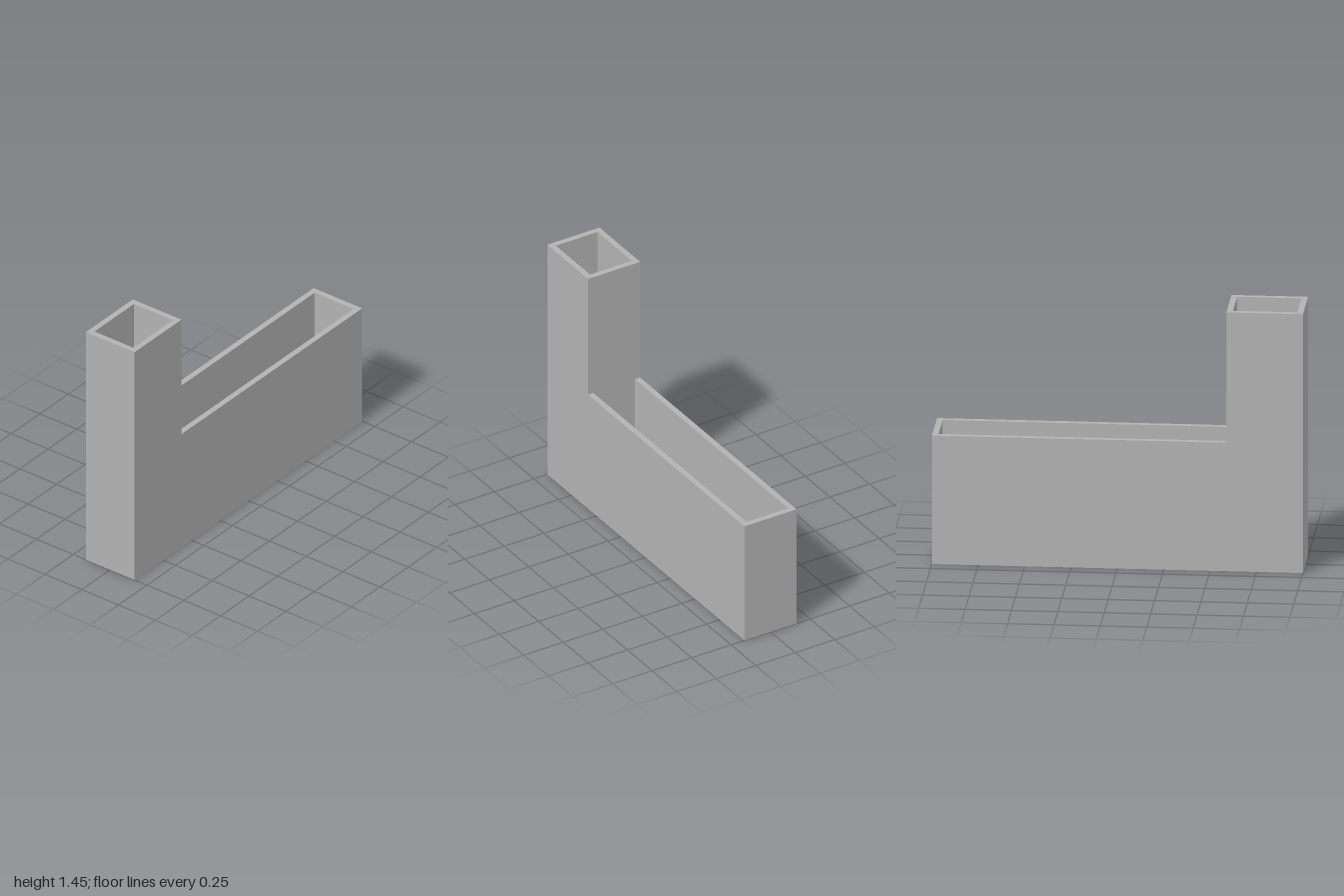
import * as THREE from 'three';

const WALL = 0.033;            // wall thickness
const DEPTH = 0.33;            // overall front-to-back size
const TALL = 1.45, LOW = 0.72; // tower and trough heights
const STEP = -0.587;           // x where the tower meets the trough

export function createModel() {
  const model = new THREE.Group();
  model.name = 'openLShapedDuct';

  const grey = new THREE.MeshStandardMaterial({ color: 0xb2b2b2 });
  grey.name = 'grey';

  const add = (name, geometry, x, y, z) => {
    const mesh = new THREE.Mesh(geometry, grey);
    mesh.name = name;
    mesh.position.set(x, y, z);
    model.add(mesh);
  };

  // L-shaped front and back walls
  const profile = new THREE.Shape([
    [-1, 0], [1, 0], [1, LOW], [STEP, LOW], [STEP, TALL], [-1, TALL],
  ].map(([x, y]) => new THREE.Vector2(x, y)));
  const sideWall = new THREE.ExtrudeGeometry(profile, { depth: WALL, bevelEnabled: false });
  add('frontWall', sideWall, 0, 0, DEPTH / 2 - WALL);
  add('backWall', sideWall, 0, 0, -DEPTH / 2);

  // Cross walls between them; the duct stays open at top and bottom
  const crossWall = (name, right, height) => add(
    name, new THREE.BoxGeometry(WALL, height, DEPTH - 2 * WALL), right - WALL / 2, height / 2, 0);
  crossWall('towerEndWall', -1 + WALL, TALL);
  crossWall('dividingWall', STEP, TALL);
  crossWall('troughEndWall', 1, LOW);

  return model;
}
